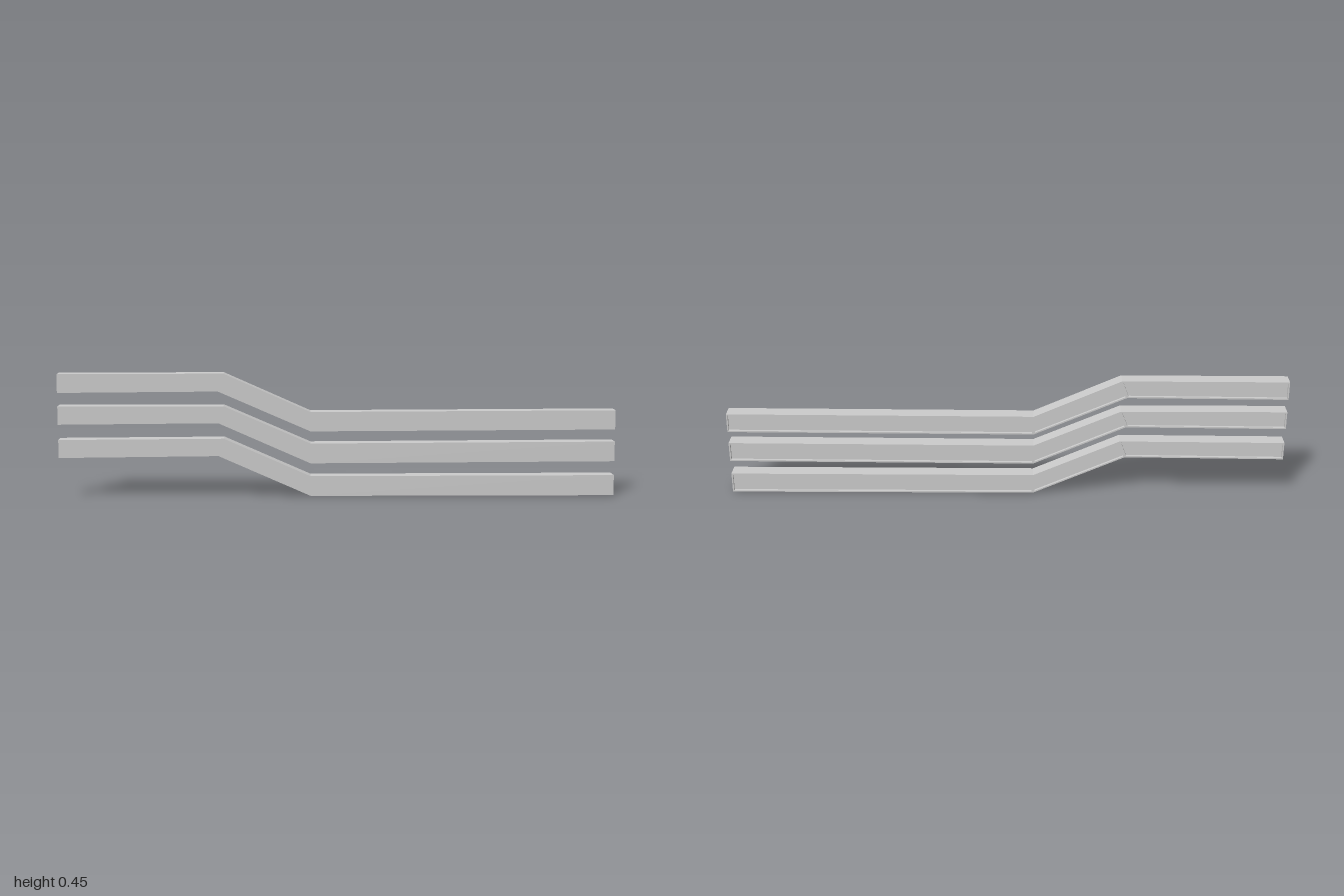
import * as THREE from 'three';

const HALF_DEPTH = 0.028;
const RECESS = 0.01;
const RIM = 0.005;

const material = new THREE.MeshStandardMaterial({ color: 0xcccccc, flatShading: true });

// Matching points along the top and bottom edge of each cranked bar, left to right
const bars = [
  { name: 'lowerBar',
    top: [[-1, 0.212], [-0.41, 0.214], [-0.1, 0.076], [1, 0.074]],
    bottom: [[-1, 0.147], [-0.43, 0.151], [-0.1, 0.004], [1, 0]] },
  { name: 'middleBar',
    top: [[-1, 0.333], [-0.41, 0.331], [-0.1, 0.195], [1, 0.197]],
    bottom: [[-1, 0.267], [-0.43, 0.27], [-0.1, 0.123], [1, 0.125]] },
  { name: 'upperBar',
    top: [[-1, 0.448], [-0.41, 0.448], [-0.1, 0.309], [1, 0.311]],
    bottom: [[-1, 0.381], [-0.43, 0.384], [-0.1, 0.239], [1, 0.241]] },
];

const toVectors = (points) => points.map(([x, y]) => new THREE.Vector2(x, y));

function extrude(shape, zBack, zFront) {
  const geometry = new THREE.ExtrudeGeometry(shape, { depth: zFront - zBack, bevelEnabled: false });
  return geometry.translate(0, 0, zBack);
}

// Outline of one straight section, pulled in by the rim on all four sides
function sectionHole(bar, i) {
  const inset = (edge, dy) => {
    const [x0, y0] = edge[i], [x1, y1] = edge[i + 1];
    const slope = (y1 - y0) / (x1 - x0);
    const drop = dy * Math.hypot(1, slope);
    return [[x0 + RIM, y0 + slope * RIM + drop], [x1 - RIM, y1 - slope * RIM + drop]];
  };
  const top = inset(bar.top, -RIM), bottom = inset(bar.bottom, RIM);
  return new THREE.Path(toVectors([...top, ...bottom.reverse()]));
}

function createBar(bar) {
  const group = new THREE.Group();
  group.name = bar.name;
  const outline = toVectors([...bar.bottom, ...[...bar.top].reverse()]);

  // Solid body
  const body = new THREE.Mesh(
    extrude(new THREE.Shape(outline), -HALF_DEPTH + RECESS, HALF_DEPTH), material);
  body.name = 'barBody';

  // Raised rim around three shallow panels on the back
  const frame = new THREE.Shape(outline);
  for (let i = 0; i < 3; i++) frame.holes.push(sectionHole(bar, i));
  const rim = new THREE.Mesh(extrude(frame, -HALF_DEPTH, -HALF_DEPTH + RECESS), material);
  rim.name = 'backRim';

  group.add(body, rim);
  return group;
}

export function createModel() {
  const model = new THREE.Group();
  model.name = 'crankedBars';
  for (const bar of bars) model.add(createBar(bar));
  return model;
}
